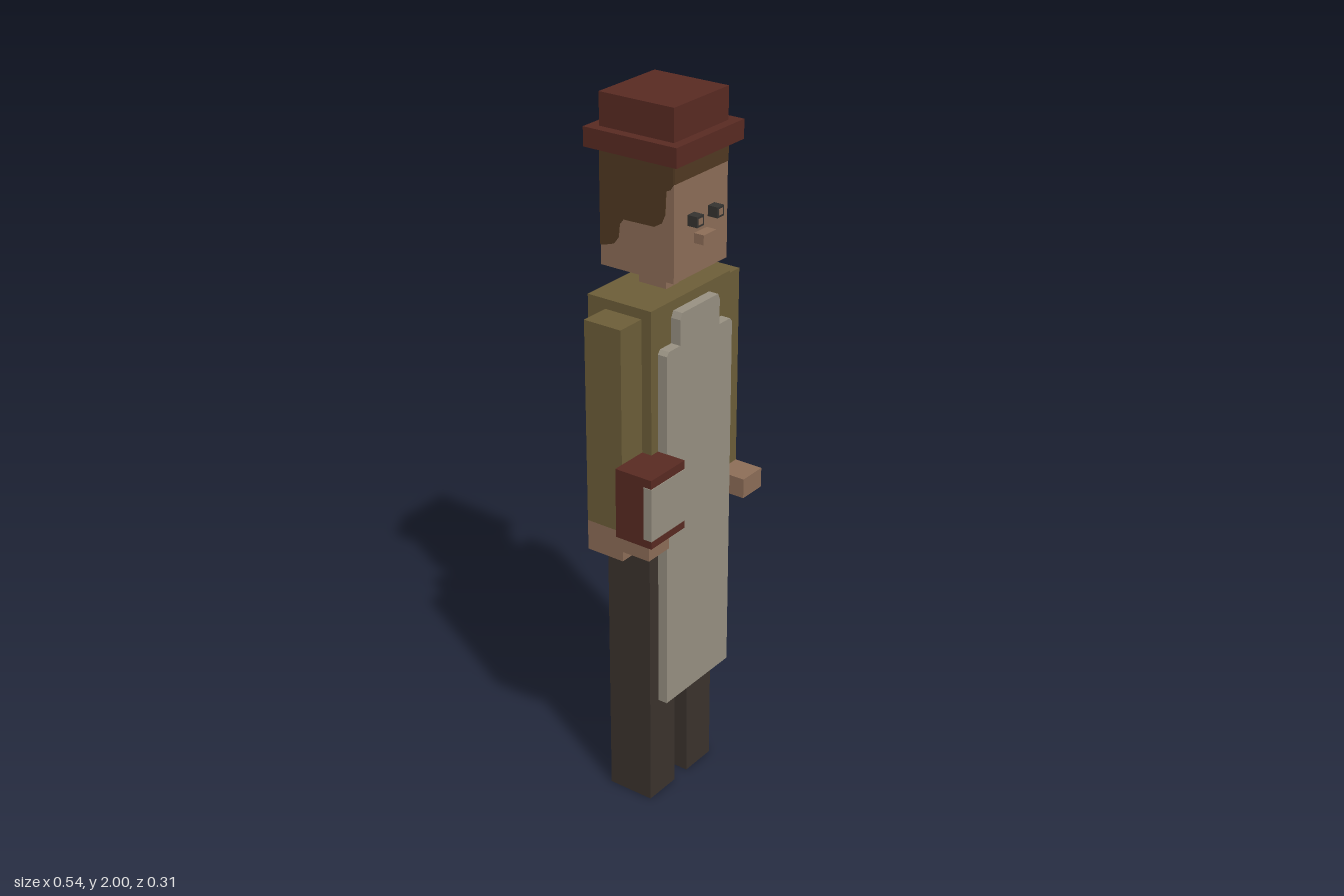
import * as THREE from 'three';

const mat = (name, color) => {
  const m = new THREE.MeshStandardMaterial({ color });
  m.name = name;
  return m;
};

export function createModel() {
  const skin = mat('skin', 0x8f6f59);
  const hair = mat('hair', 0x523a22);
  const maroon = mat('maroon', 0x5a2b23);
  const olive = mat('olive', 0x6e5f39);
  const cloth = mat('apron grey', 0x9a9384);
  const trousers = mat('trousers', 0x3c342e);
  const dark = mat('dark', 0x363431);

  const model = new THREE.Group();
  model.name = 'shopkeeper';

  // Box given by its minimum and maximum corners
  const box = (name, material, x0, x1, y0, y1, z0, z1) => {
    const mesh = new THREE.Mesh(new THREE.BoxGeometry(x1 - x0, y1 - y0, z1 - z0), material);
    mesh.position.set((x0 + x1) / 2, (y0 + y1) / 2, (z0 + z1) / 2);
    mesh.name = name;
    model.add(mesh);
    return mesh;
  };
  const extrude = (name, material, points, depth) => {
    const shape = new THREE.Shape(points.map(([x, y]) => new THREE.Vector2(x, y)));
    const mesh = new THREE.Mesh(new THREE.ExtrudeGeometry(shape, { depth, bevelEnabled: false }), material);
    mesh.name = name;
    model.add(mesh);
    return mesh;
  };

  // Hat
  box('hatCrown', maroon, -0.1, 0.125, 1.914, 2, -0.127, 0.098);
  box('hatBrim', maroon, -0.127, 0.154, 1.863, 1.914, -0.156, 0.125);

  // Head, neck and face
  box('head', skin, -0.1, 0.125, 1.555, 1.863, -0.127, 0.098);
  box('neck', skin, -0.016, 0.037, 1.49, 1.555, -0.072, 0.013);
  box('mouth', skin, -0.016, 0.037, 1.637, 1.663, 0.098, 0.127);
  for (const x of [-0.03, 0.055]) {
    box('eye', dark, x - 0.014, x + 0.014, 1.69, 1.718, 0.098, 0.127);
    box('eyeHighlight', skin, x - 0.008, x + 0.008, 1.696, 1.712, 0.127, 0.1285);
  }

  // Hair: thin plates around the head
  const t = 0.002;
  box('hairFringe', hair, -0.1, 0.125, 1.81, 1.863, 0.098, 0.098 + t);
  box('hairBack', hair, -0.1, 0.125, 1.61, 1.863, -0.127 - t, -0.127);
  const sideHair = [
    [0.098, 1.863], [0.098, 1.81], [0.088, 1.795], [0.076, 1.79], [0.073, 1.73],
    [0.062, 1.705], [0.04, 1.692], [-0.055, 1.69], [-0.066, 1.675], [-0.07, 1.64],
    [-0.085, 1.62], [-0.11, 1.612], [-0.127, 1.608], [-0.127, 1.863],
  ];
  for (const x of [-0.1, 0.125 + t]) {
    const side = extrude('hairSide', hair, sideHair, t);
    side.rotation.y = -Math.PI / 2;
    side.position.x = x;
  }

  // Coat body with dark hem
  box('torso', olive, -0.156, 0.182, 0.905, 1.494, -0.127, 0.07);
  box('hem', dark, -0.156, 0.182, 0.848, 0.905, -0.127, 0.07);

  // Arms, hands and legs, mirrored about the body's middle line
  const mid = 0.013;
  const pair = (name, material, a, b, ...rest) => {
    box(name, material, mid + a, mid + b, ...rest);
    box(name, material, mid - b, mid - a, ...rest);
  };
  pair('sleeve', olive, 0.169, 0.254, 0.905, 1.467, -0.072, 0.041);
  pair('hand', skin, 0.169, 0.254, 0.82, 0.905, -0.072, 0.041);
  pair('fingers', skin, 0.169, 0.254, 0.848, 0.905, 0.041, 0.125);
  pair('leg', trousers, 0.029, 0.141, 0, 0.848, -0.096, 0.042);

  // Apron with stepped bib
  const half = [
    [0.141, 0.343], [0.141, 1.37], [0.132, 1.381], [0.085, 1.381],
    [0.085, 1.45], [0.077, 1.467],
  ];
  const outline = [
    ...half.map(([x, y]) => [mid + x, y]),
    ...half.slice().reverse().map(([x, y]) => [mid - x, y]),
  ];
  extrude('apron', cloth, outline, 0.028).position.z = 0.07;

  // Book held in the right hand, with a wrap-around pale label
  box('book', maroon, -0.268, -0.127, 0.905, 1.1, 0.041, 0.153);
  box('bookLabel', cloth, -0.27, -0.125, 0.928, 1.076, 0.13, 0.155);

  return model;
}
